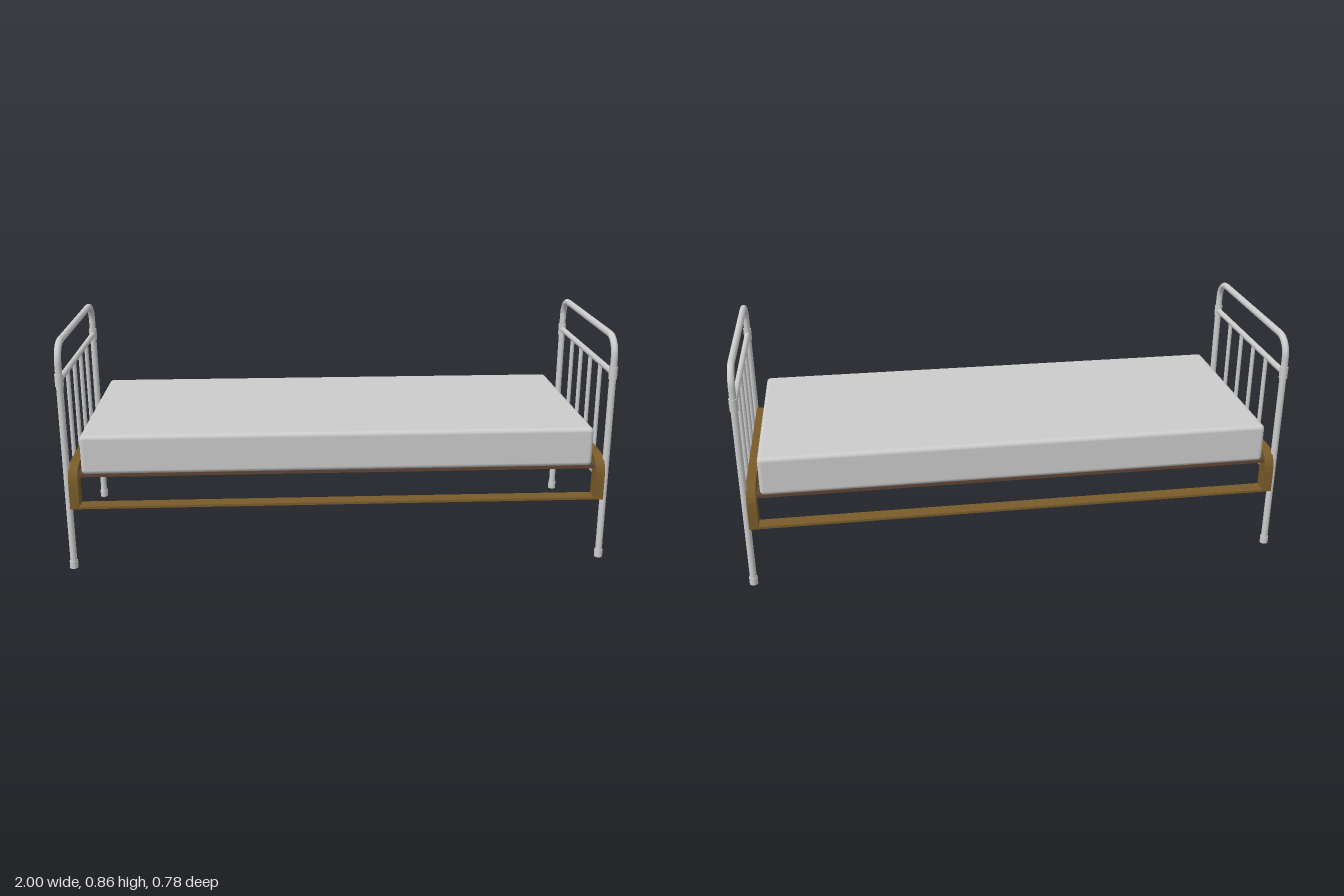
import * as THREE from 'three';
import { RoundedBoxGeometry } from 'three/addons/geometries/RoundedBoxGeometry.js';

const metal = new THREE.MeshStandardMaterial({ color: 0xcccccc });
const wood = new THREE.MeshStandardMaterial({ color: 0x7a5c2a });
const darkWood = new THREE.MeshStandardMaterial({ color: 0x5f4534 });

function add(parent, name, geometry, material, x = 0, y = 0, z = 0) {
  const mesh = new THREE.Mesh(geometry, material);
  mesh.name = name;
  mesh.position.set(x, y, z);
  parent.add(mesh);
  return mesh;
}

// Upright rod from y0 to y1
function upright(parent, name, r, y0, y1, z) {
  return add(parent, name, new THREE.CylinderGeometry(r, r, y1 - y0, 16), metal, 0, (y0 + y1) / 2, z);
}

// Horizontal rod running across the bed
function crossRod(parent, name, r, y, halfLength) {
  const geometry = new THREE.CylinderGeometry(r, r, halfLength * 2, 16).rotateX(Math.PI / 2);
  return add(parent, name, geometry, metal, 0, y);
}

// Tubular head or foot end
function bedEnd(name) {
  const end = new THREE.Group();
  end.name = name;
  const postZ = 0.359, r = 0.0125, topY = 0.847, bend = 0.068;
  for (const s of [1, -1]) {
    upright(end, 'post', r, 0, topY - bend, s * postZ);
    upright(end, 'footCap', 0.0155, 0, 0.028, s * postZ);
    upright(end, 'collar', 0.0155, 0.697, 0.742, s * postZ);
    const corner = new THREE.TorusGeometry(bend, r, 16, 5, Math.PI / 2);
    add(end, 'topBend', corner, metal, 0, topY - bend, s * (postZ - bend)).rotation.y = -s * Math.PI / 2;
  }
  crossRod(end, 'topBar', r, topY, postZ - bend);
  crossRod(end, 'upperRail', 0.011, 0.719, postZ);
  crossRod(end, 'lowerRail', 0.011, 0.296, postZ);
  for (let i = 0; i < 4; i++) upright(end, 'spindle', 0.008, 0.296, 0.719, 0.203 - i * 0.1305);
  return end;
}

// Arched wooden bracket, drawn across the bed and extruded along its length
function bracketGeometry(depth) {
  const s = new THREE.Shape();
  s.moveTo(-0.389, 0.243);
  s.lineTo(-0.389, 0.325);
  s.bezierCurveTo(-0.389, 0.38, -0.365, 0.402, -0.32, 0.405);
  s.lineTo(0.32, 0.405);
  s.bezierCurveTo(0.365, 0.402, 0.389, 0.38, 0.389, 0.325);
  s.lineTo(0.389, 0.243);
  s.lineTo(0.335, 0.243);
  s.lineTo(0.335, 0.335);
  s.quadraticCurveTo(0.335, 0.351, 0.318, 0.351);
  s.lineTo(-0.318, 0.351);
  s.quadraticCurveTo(-0.335, 0.351, -0.335, 0.335);
  s.lineTo(-0.335, 0.243);
  s.closePath();
  return new THREE.ExtrudeGeometry(s, { depth, bevelEnabled: false, curveSegments: 6 })
    .translate(0, 0, -depth / 2).rotateY(Math.PI / 2);
}

export function createModel() {
  const bed = new THREE.Group();
  bed.name = 'bed';

  // Matching ends and brackets
  for (const s of [1, -1]) {
    const end = bedEnd(s > 0 ? 'footboard' : 'headboard');
    end.position.x = s * 0.9845;
    bed.add(end);
    add(bed, 'endBracket', bracketGeometry(0.034), wood, s * 0.959);
    // Edge of the base showing on the bracket face
    add(bed, 'baseEdge', new THREE.BoxGeometry(0.034, 0.012, 0.67), darkWood, s * 0.96, 0.366, 0);
    // Flat strap joining the bracket legs
    add(bed, 'sideStrap', new THREE.BoxGeometry(1.9, 0.009, 0.054), wood, 0, 0.2475, s * 0.362);
  }

  // Base and mattress
  add(bed, 'base', new THREE.BoxGeometry(1.89, 0.012, 0.75), darkWood, 0, 0.367, 0);
  add(bed, 'mattress', new RoundedBoxGeometry(1.856, 0.146, 0.766, 4, 0.016), metal, -0.001, 0.445, 0);
  return bed;
}
